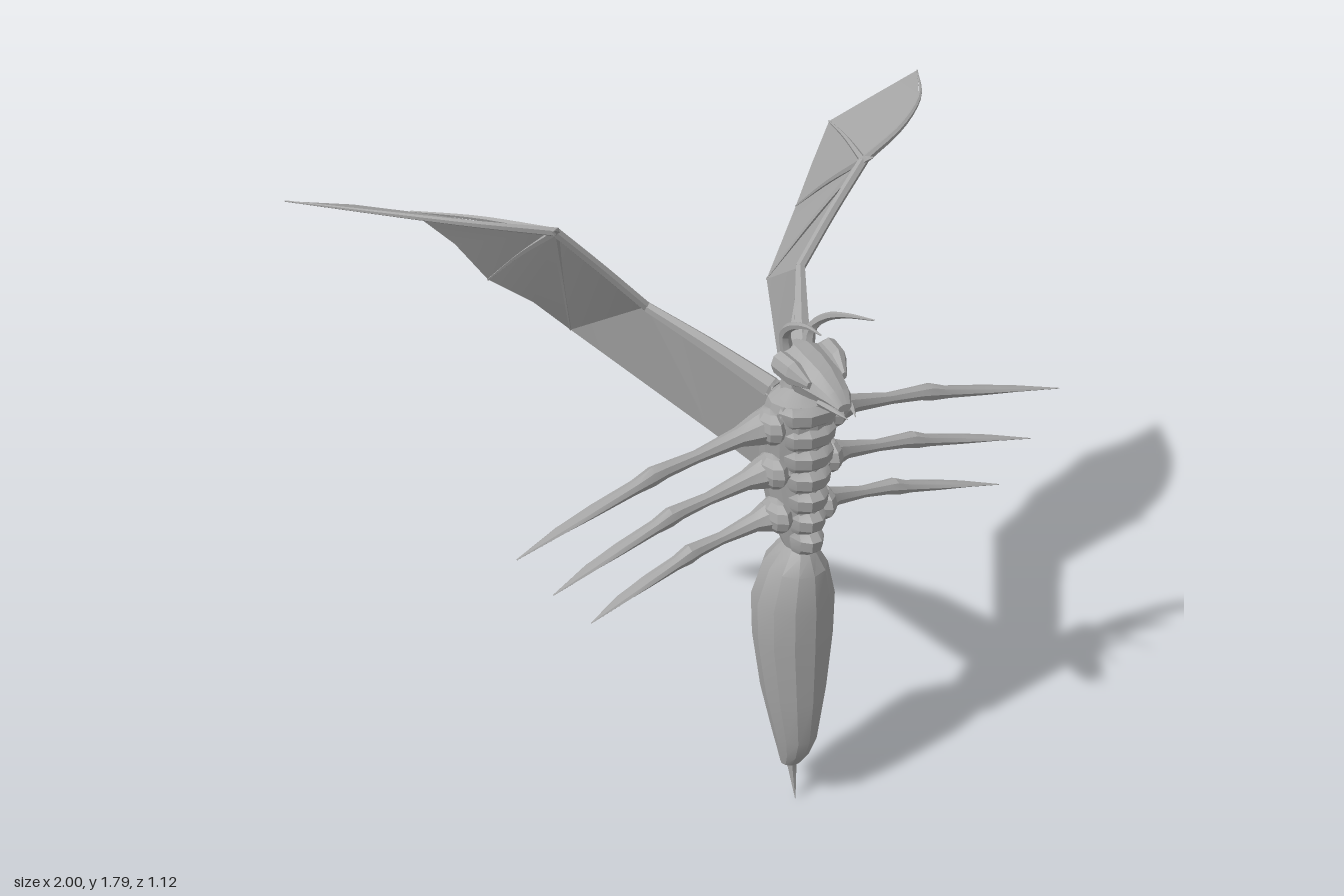
import * as THREE from 'three';
import { toCreasedNormals } from 'three/addons/utils/BufferGeometryUtils.js';

const chitin = new THREE.MeshStandardMaterial({ color: 0xa6a6a6, side: THREE.DoubleSide });
chitin.name = 'grey chitin';
const X = new THREE.Vector3(1, 0, 0), Y = new THREE.Vector3(0, 1, 0), Z = new THREE.Vector3(0, 0, 1);

// Skin elliptical sections [x, y, z, radiusU, radiusV]; u cross v points along the path.
function loft(sections, u, v, sides = 10) {
  const pos = [], idx = [];
  for (const [x, y, z, ru, rv] of sections) {
    for (let j = 0; j < sides; j++) {
      const a = (j / sides) * Math.PI * 2;
      const p = new THREE.Vector3(x, y, z)
        .addScaledVector(u, ru * Math.cos(a)).addScaledVector(v, rv * Math.sin(a));
      pos.push(p.x, p.y, p.z);
    }
  }
  const last = sections.length - 1;
  for (let i = 0; i < last; i++) {
    for (let j = 0; j < sides; j++) {
      const k = (j + 1) % sides, a = i * sides, b = a + sides;
      idx.push(a + j, a + k, b + k, a + j, b + k, b + j);
    }
  }
  for (let j = 1; j < sides - 1; j++) {
    idx.push(0, j + 1, j, last * sides, last * sides + j, last * sides + j + 1);
  }
  return indexed(pos, idx);
}

function indexed(pos, idx) {
  const g = new THREE.BufferGeometry();
  g.setAttribute('position', new THREE.Float32BufferAttribute(pos, 3));
  g.setIndex(idx);
  return g;
}

// Tapered rod through a list of points
function rod(points, r0, r1, sides = 6) {
  const curve = new THREE.CatmullRomCurve3(points.map(p => new THREE.Vector3(...p)));
  const n = points.length * 3;
  const g = new THREE.TubeGeometry(curve, n, 1, sides);
  const p = g.attributes.position, v = new THREE.Vector3();
  for (let i = 0; i < p.count; i++) {
    const t = Math.floor(i / (sides + 1)) / n, c = curve.getPointAt(t);
    v.fromBufferAttribute(p, i).sub(c).multiplyScalar(r0 + (r1 - r0) * t).add(c);
    p.setXYZ(i, v.x, v.y, v.z);
  }
  return g;
}

function mirrored(geometry) {
  const g = geometry.clone().scale(-1, 1, 1), a = g.index.array;
  for (let i = 0; i < a.length; i += 3) [a[i + 1], a[i + 2]] = [a[i + 2], a[i + 1]];
  return g;
}

export function createModel() {
  const model = new THREE.Group();
  model.name = 'wingedInsect';
  const add = (name, geometry, crease = 0.35) => {
    const g = geometry.clone();
    g.deleteAttribute('normal');
    g.deleteAttribute('uv');
    const mesh = new THREE.Mesh(toCreasedNormals(g, crease), chitin);
    mesh.name = name;
    model.add(mesh);
  };
  const pair = (name, g, crease) => {
    add(name + 'Left', g, crease);
    add(name + 'Right', mirrored(g), crease);
  };

  // Abdomen and stinger
  add('abdomen', loft([
    [0, 0.89, 0.335, 0.035, 0.045], [0, 0.87, 0.33, 0.05, 0.065], [0, 0.82, 0.325, 0.085, 0.095],
    [0, 0.71, 0.315, 0.115, 0.117], [0, 0.58, 0.317, 0.112, 0.115], [0, 0.4, 0.326, 0.09, 0.103],
    [0, 0.25, 0.338, 0.062, 0.078], [0, 0.18, 0.333, 0.045, 0.055], [0, 0.13, 0.325, 0.034, 0.028],
  ], X, Z, 12));
  add('stinger', loft([
    [0, 0.17, 0.33, 0.022, 0.03], [0, 0.12, 0.325, 0.015, 0.02],
    [0, 0.07, 0.335, 0.009, 0.011], [0, 0, 0.35, 0.001, 0.001],
  ], X, Z, 6));

  // Thorax core with overlapping belly plates
  add('thorax', loft([
    [0, 1.36, 0.32, 0.04, 0.04], [0, 1.335, 0.335, 0.09, 0.075], [0, 1.28, 0.33, 0.105, 0.085],
    [0, 1.18, 0.31, 0.092, 0.1], [0, 1.08, 0.305, 0.082, 0.105], [0, 1.0, 0.315, 0.068, 0.095],
    [0, 0.93, 0.325, 0.054, 0.07], [0, 0.88, 0.335, 0.038, 0.048],
  ], X, Z, 12));
  for (let i = 0; i < 7; i++) {
    const y = 1.335 - i * 0.064, w = 0.088 - i * 0.007, z = 0.365;
    add('bellyPlate' + (i + 1), loft([
      [0, y, z, w * 0.9, 0.045], [0, y - 0.018, z, w, 0.066],
      [0, y - 0.048, z, w * 0.95, 0.062], [0, y - 0.066, z, w * 0.84, 0.04],
    ], X, Z, 10));
  }

  // Neck and head
  add('neck', loft([
    [0, 1.47, 0.33, 0.035, 0.03], [0, 1.4, 0.315, 0.034, 0.025], [0, 1.33, 0.31, 0.055, 0.045],
  ], X, Z, 8));
  add('head', loft([
    [0, 1.455, 0.295, 0.03, 0.02], [0, 1.44, 0.33, 0.065, 0.04], [0, 1.415, 0.39, 0.07, 0.055],
    [0, 1.41, 0.44, 0.058, 0.045], [0, 1.4, 0.5, 0.038, 0.022], [0, 1.385, 0.53, 0.02, 0.01],
  ], X, Y, 10));
  pair('eye', loft([
    [0.06, 1.44, 0.31, 0.012, 0.012], [0.072, 1.45, 0.345, 0.028, 0.032],
    [0.066, 1.44, 0.4, 0.026, 0.034], [0.052, 1.425, 0.45, 0.008, 0.01],
  ], X, Y, 8));
  pair('mandible', rod([[0.03, 1.385, 0.47], [0.025, 1.38, 0.52], [0.012, 1.37, 0.56]], 0.016, 0.001));
  pair('antenna', rod([
    [0.03, 1.45, 0.315], [0.04, 1.505, 0.315], [0.052, 1.55, 0.36],
    [0.06, 1.585, 0.44], [0.078, 1.605, 0.53],
  ], 0.018, 0.002));

  // Three pairs of blade-like legs: [hip y, hip x, reach, drop]
  [[1.27, 0.07, 0.77, 0.13], [1.135, 0.06, 0.69, 0.13], [0.995, 0.045, 0.605, 0.11]]
    .forEach(([y, x, reach, drop], i) => {
      const at = (t, d, z, ry, rz) => [x + reach * t, y - drop * d, z, ry, rz];
      pair('leg' + (i + 1), loft([
        at(0, 0, 0.325, 0.05, 0.06), at(0.07, 0.08, 0.32, 0.042, 0.045), at(0.14, 0.15, 0.315, 0.026, 0.028),
        at(0.3, 0.32, 0.312, 0.017, 0.018), at(0.42, 0.39, 0.315, 0.021, 0.022),
        at(0.47, 0.43, 0.318, 0.026, 0.025), at(0.54, 0.53, 0.322, 0.018, 0.021),
        at(0.7, 0.7, 0.335, 0.012, 0.023), at(0.83, 0.83, 0.35, 0.006, 0.019),
        at(1, 1, 0.38, 0.001, 0.002),
      ], Y, Z, 8));
      pair('hip' + (i + 1), new THREE.SphereGeometry(1, 8, 6).scale(0.036, 0.05, 0.062)
        .translate(x + 0.025, y, 0.335));
    });

  // Wings: membrane panels stretched between arm, fingers and trailing edge
  const P = {
    root: [0.05, 1.34, 0.27], spine: [0, 1.33, 0.24], rear: [0, 1.2, 0.16], low: [0.03, 1.05, 0.22],
    inner: [0.12, 1.14, 0.08], elbow: [0.24, 1.49, -0.04], wrist: [0.47, 1.735, -0.085],
    edge1: [0.65, 1.765, -0.17], edge2: [0.83, 1.78, -0.32], tip: [1, 1.765, -0.56],
    t2: [0.67, 1.67, -0.545], t3: [0.5, 1.465, -0.46], t4: [0.32, 1.32, -0.335],
    m1: [0.83, 1.728, -0.535], m2: [0.575, 1.575, -0.49], m3: [0.405, 1.405, -0.385],
  };
  const names = Object.keys(P);
  const panels = ['root spine elbow', 'spine rear inner', 'spine inner elbow', 'rear low inner',
    'root low inner', 'root inner elbow', 'elbow inner t4', 'elbow t4 wrist', 'wrist t4 m3', 'wrist m3 t3',
    'wrist t3 m2', 'wrist m2 t2', 'wrist t2 edge1', 'edge1 t2 m1', 'edge1 m1 edge2', 'edge2 m1 tip'];
  pair('wingMembrane', indexed(names.flatMap(n => P[n]),
    panels.flatMap(s => s.split(' ').map(n => names.indexOf(n)))), 0.3);
  pair('wingUpperArm', rod([P.root, [0.14, 1.415, 0.12], P.elbow], 0.03, 0.014));
  pair('wingForearm', rod([P.elbow, [0.355, 1.615, -0.065], P.wrist], 0.014, 0.014));
  pair('wingLeadingFinger', rod([P.wrist, P.edge1, P.edge2, P.tip], 0.012, 0.002));
  ['t2', 't3', 't4'].forEach((t, i) => {
    const mid = P.wrist.map((c, k) => (c + P[t][k]) / 2 + (k === 1 ? 0.008 : 0));
    pair('wingFinger' + (i + 1), rod([P.wrist, mid, P[t]], 0.011, 0.003, 5));
  });
  pair('wingClaw', rod([P.wrist, [0.475, 1.745, -0.07], [0.485, 1.75, -0.06]], 0.014, 0.002, 5));

  return model;
}
